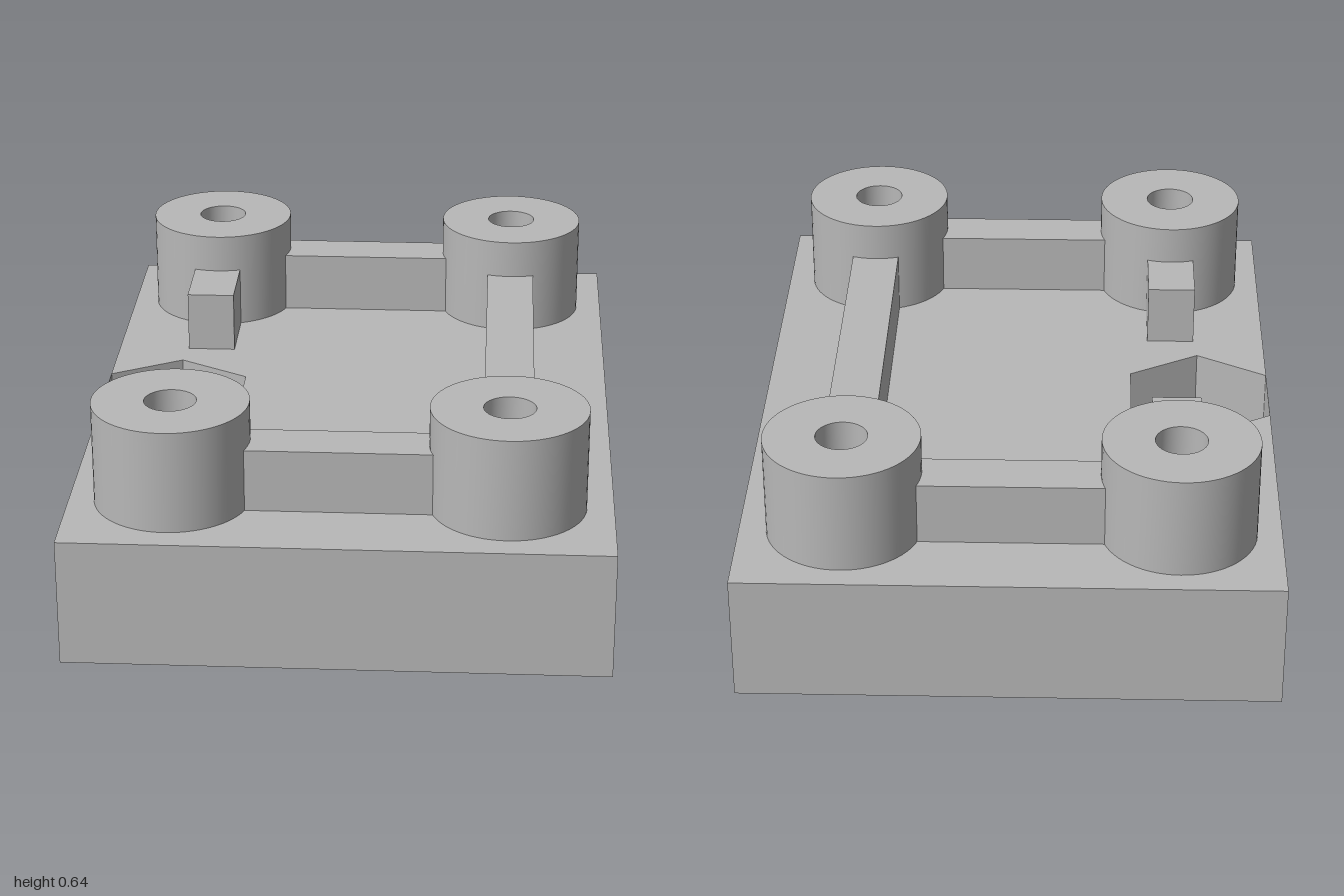
import * as THREE from 'three';
import { mergeGeometries, toCreasedNormals } from 'three/addons/utils/BufferGeometryUtils.js';

const PLATE_TOP = 0.355, POCKET_FLOOR = 0.177, RIB_TOP = 0.53, BOSS_TOP = 0.64;

// Loop of [x, z] points; running this way round, its walls face outward
const ring = (cx, cz, r, n, start = 0) => Array.from({ length: n }, (_, i) => {
  const a = start + (i / n) * Math.PI * 2;
  return [cx + r * Math.cos(a), cz - r * Math.sin(a)];
});

// Vertical walls along a loop; inward = true for holes
function wall(loop, y0, y1, inward = false) {
  const pts = inward ? [...loop].reverse() : loop;
  const pos = [];
  pts.forEach(([ax, az], i) => {
    const [bx, bz] = pts[(i + 1) % pts.length];
    pos.push(ax, y0, az, bx, y0, bz, bx, y1, bz, ax, y0, az, bx, y1, bz, ax, y1, az);
  });
  const g = new THREE.BufferGeometry();
  g.setAttribute('position', new THREE.Float32BufferAttribute(pos, 3));
  return g;
}

// Horizontal face with an optional hole, facing up or down
function cap(outer, hole, y, up = true) {
  const s = up ? -1 : 1;
  const flat = (loop) => loop.map(([x, z]) => new THREE.Vector2(x, s * z));
  const shape = new THREE.Shape(flat(outer));
  if (hole) shape.holes.push(new THREE.Path(flat(hole)));
  const g = new THREE.ShapeGeometry(shape).toNonIndexed();
  g.rotateX((s * Math.PI) / 2).translate(0, y, 0);
  g.deleteAttribute('uv');
  g.deleteAttribute('normal');
  return g;
}

export function createModel() {
  const model = new THREE.Group();
  model.name = 'mountingBlock';
  const grey = new THREE.MeshStandardMaterial({ color: 0xb8b8b8 });
  grey.name = 'grey';

  const add = (name, geometry) => {
    const mesh = new THREE.Mesh(geometry, grey);
    mesh.name = name;
    model.add(mesh);
  };
  const addParts = (name, parts) => add(name, toCreasedNormals(mergeGeometries(parts), 0.5));

  // Base plate with a hexagonal nut pocket above a round through hole
  const outline = [[-0.73, 1], [0.73, 1], [0.73, -1], [-0.73, -1]];
  const hex = ring(-0.53, 0.01, 0.23, 6, Math.PI / 2);
  const bolt = ring(-0.53, 0.01, 0.11, 48);
  addParts('basePlate', [
    wall(outline, 0, PLATE_TOP),
    cap(outline, hex, PLATE_TOP),
    wall(hex, POCKET_FLOOR, PLATE_TOP, true),
    cap(hex, bolt, POCKET_FLOOR),
    wall(bolt, 0, POCKET_FLOOR, true),
    cap(outline, bolt, 0, false),
  ]);

  // Four round bosses with screw holes
  const [xr, xl, zb, zf] = [-0.452, 0.446, -0.722, 0.716];
  for (const [name, x, z] of [
    ['bossFrontRight', xr, zf], ['bossFrontLeft', xl, zf],
    ['bossBackRight', xr, zb], ['bossBackLeft', xl, zb],
  ]) {
    const outer = ring(x, z, 0.211, 64);
    const bore = ring(x, z, 0.07, 40);
    addParts(name, [
      wall(outer, PLATE_TOP, BOSS_TOP),
      wall(bore, PLATE_TOP, BOSS_TOP, true),
      cap(outer, bore, BOSS_TOP),
    ]);
  }

  // Ribs between the bosses, ending inside the boss walls
  const rib = (name, x0, x1, z0, z1) => {
    const h = RIB_TOP - PLATE_TOP;
    add(name, new THREE.BoxGeometry(x1 - x0, h, z1 - z0)
      .translate((x0 + x1) / 2, PLATE_TOP + h / 2, (z0 + z1) / 2));
  };
  const w = 0.069, inset = 0.17;
  rib('frontRib', xr + inset, xl - inset, zf - w, zf + w);
  rib('backRib', xr + inset, xl - inset, zb - w, zb + w);
  rib('leftRib', xl - w, xl + w, zb + inset, zf - inset);
  rib('frontStubRib', xr - w, xr + w, 0.326, zf - inset);
  rib('backStubRib', xr - w, xr + w, zb + inset, -0.31);

  return model;
}
